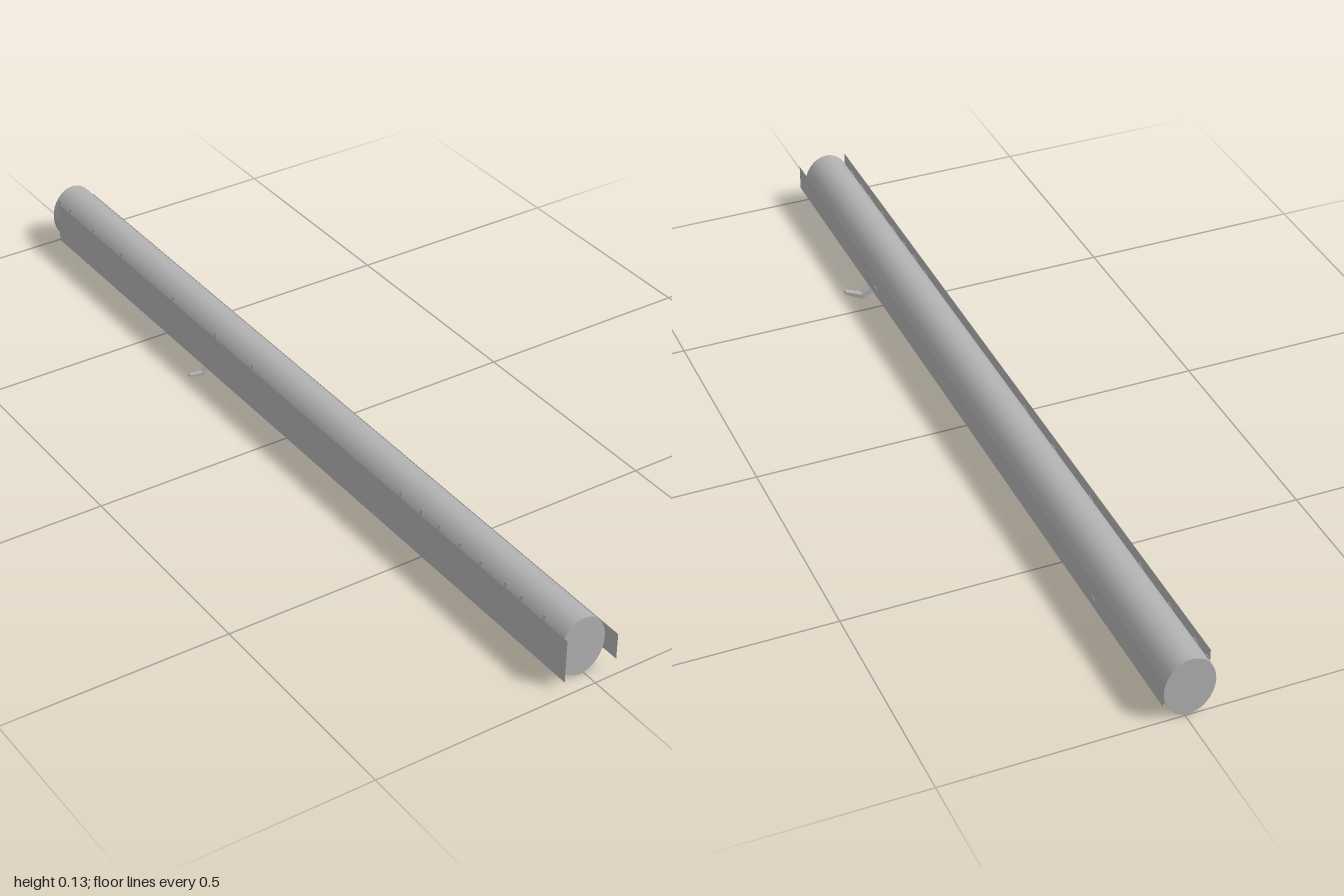
import * as THREE from 'three';

export function createModel() {
  const model = new THREE.Group();
  const bark = new THREE.MeshStandardMaterial({ color: 0xb0b0b0, side: THREE.DoubleSide });
  bark.name = 'greyBark';

  const add = (name, geometry, x = 0, y = 0, z = 0) => {
    const mesh = new THREE.Mesh(geometry, bark);
    mesh.name = name;
    mesh.position.set(x, y, z);
    model.add(mesh);
    return mesh;
  };

  // Oval log lying along z
  const trunk = new THREE.CylinderGeometry(1, 1, 1.962, 32);
  trunk.rotateX(Math.PI / 2);
  trunk.scale(0.054, 0.067, 1);
  add('logBody', trunk, -0.008, 0.067, -0.017);

  // Upright sheets along both flanks
  const sheet = (name, x, y0, y1, z0, z1) => {
    const g = new THREE.PlaneGeometry(z1 - z0, y1 - y0);
    g.rotateY(Math.sign(x) * Math.PI / 2);
    add(name, g, x, (y0 + y1) / 2, (z0 + z1) / 2);
  };
  sheet('leftBarkSheet', 0.047, 0.037, 0.096, -1, 1);
  sheet('rightBarkSheet', -0.062, 0.018, 0.116, -0.97, 0.985);

  // Small bark chips lying against the log: a and b are [x, y] ends
  const chip = (name, a, b, z, width) => {
    const dx = b[0] - a[0], dy = b[1] - a[1];
    const mesh = add(name, new THREE.BoxGeometry(Math.hypot(dx, dy), 0.0015, width),
      (a[0] + b[0]) / 2, (a[1] + b[1]) / 2, z);
    mesh.rotation.z = Math.atan2(dy, dx);
  };
  for (const z of [-0.98, -0.93, -0.82, -0.69, -0.46, -0.28, -0.13, 0.43, 0.5, 0.56, 0.63, 0.7, 0.78, 0.83, 0.9])
    chip('rightChip', [-0.062, 0.078], [-0.049, 0.116], z, 0.01);
  for (const z of [-0.93, -0.78, -0.54, -0.47, -0.33, -0.28, -0.07, 0.12, 0.63, 0.7, 0.83])
    chip('leftChip', [0.036, 0.024], [0.044, 0.045], z, 0.01);
  for (const z of [-0.69, 0.49])
    chip('leftChip', [0.041, 0.04], [0.048, 0.062], z, 0.012);
  for (const z of [-0.75, -0.4, -0.05, 0.3, 0.65])
    chip('bottomChip', [-0.027, 0.002], [0.012, 0.002], z, 0.012);

  // Bent twigs: tapered box sections swept through three points
  const twig = (name, points, halfWidth) => {
    const pos = [], index = [];
    points.forEach(([x, y, z, h], i) => {
      const w = halfWidth * (1 - 0.2 * i);
      pos.push(x, y + h, z - w, x, y + h, z + w, x, y - h, z + w, x, y - h, z - w);
      if (i === 0) return;
      for (let k = 0; k < 4; k++) {
        const a = (i - 1) * 4 + k, b = (i - 1) * 4 + (k + 1) % 4;
        index.push(a, b, a + 4, b, b + 4, a + 4);
      }
    });
    const e = (points.length - 1) * 4;
    index.push(0, 2, 1, 0, 3, 2, e, e + 1, e + 2, e, e + 2, e + 3);
    if (points[0][0] < 0) index.reverse();
    const g = new THREE.BufferGeometry();
    g.setAttribute('position', new THREE.Float32BufferAttribute(pos, 3));
    g.setIndex(index);
    const flat = g.toNonIndexed();
    flat.computeVertexNormals();
    add(name, flat);
  };
  twig('leftTwig', [[0.03, 0.03, 0.545, 0.006], [0.062, 0.008, 0.548, 0.006], [0.097, 0.018, 0.56, 0.003]], 0.011);
  twig('rightTwig', [[-0.043, 0.03, -0.307, 0.005], [-0.07, 0.005, -0.309, 0.004], [-0.099, 0.005, -0.316, 0.002]], 0.007);

  return model;
}
